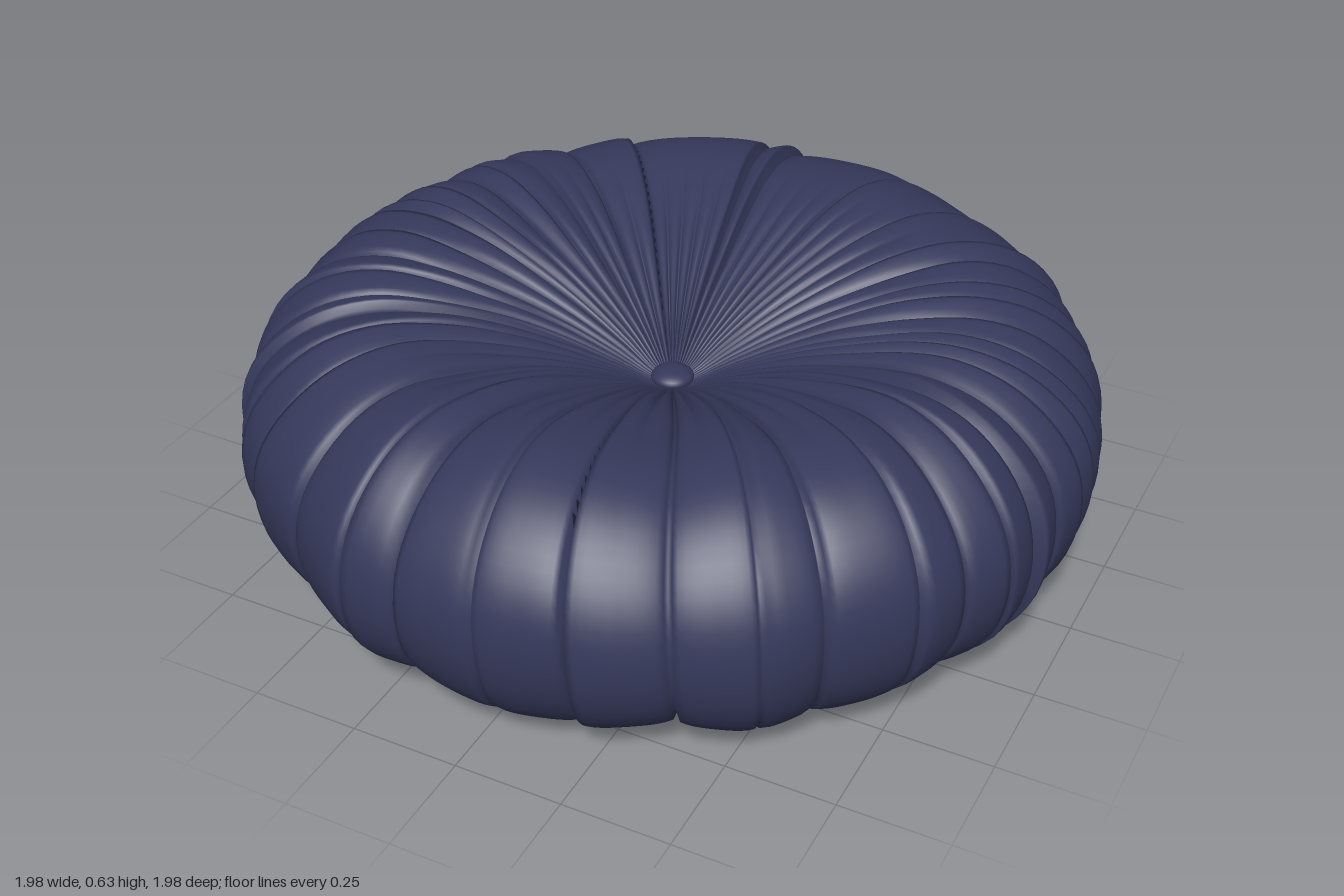
import * as THREE from 'three';

const fabric = new THREE.MeshStandardMaterial({ color: 0x35385a, roughness: 0.9 });

// Half section of the cushion: radius, height, from top centre round to bottom centre
const PROFILE = [
  [0.012, 0.372], [0.05, 0.385], [0.13, 0.43], [0.25, 0.496], [0.4, 0.562], [0.55, 0.606], [0.68, 0.62],
  [0.8, 0.592], [0.9, 0.52], [0.96, 0.43], [0.98, 0.32], [0.96, 0.21], [0.9, 0.12], [0.8, 0.05],
  [0.68, 0.024], [0.55, 0.037], [0.4, 0.08], [0.25, 0.146], [0.13, 0.211], [0.05, 0.255], [0.012, 0.268],
];

// Angles of the long creases in degrees, from +x towards +z
const CREASES = [
  0, 6, 12, 18, 25, 32, 44, 52, 63, 76, 88, 100, 108, 120, 132, 140, 148, 153, 161, 168, 176, 184, 188,
  194, 200, 206, 213, 223, 236, 261, 266, 287, 302, 315, 322, 330, 336, 343, 350, 355,
];

function seeded(seed) {
  return () => {
    seed = (seed * 16807) % 2147483647;
    return seed / 2147483647;
  };
}

// Columns of the surface: angle, groove depth, fabric lift, and whether it belongs to a short fold
function makeColumns() {
  const rand = seeded(41);
  const columns = [];
  CREASES.forEach((start, k) => {
    const width = (CREASES[k + 1] ?? 360) - start;
    const folds = Math.max(1, Math.round(width / 5.5));
    const tilt = (rand() < 0.5 ? -1 : 1) * (0.006 + 0.008 * rand());
    const lift = 0.004 * rand();
    const wobble = rand() * 6.28;
    for (let f = 0; f < folds; f++) {
      const foldWidth = width / folds;
      const thin = 0.5 / foldWidth;
      for (const t of [0, thin, 0.22, 0.4, 0.6, 0.78, 1 - thin]) {
        const whole = (f + t) / folds;
        columns.push({
          angle: THREE.MathUtils.degToRad(start + foldWidth * (f + t)),
          wobble,
          groove: t === 0 && f === 0 ? 1 : 0,
          fold: 1 - Math.pow(Math.abs(2 * t - 1), 2.5),
          puff: 1 - Math.pow(Math.abs(2 * whole - 1), 4),
          tilt: tilt * (2 * whole - 1),
          lift,
        });
      }
    }
  });
  return columns;
}

function pleatedCushion() {
  const curve = new THREE.CatmullRomCurve3(PROFILE.map(([r, y]) => new THREE.Vector3(r, y, 0)));
  const rows = 72;
  const columns = makeColumns();
  const positions = [];
  const indices = [];

  for (let j = 0; j <= rows; j++) {
    const v = j / rows;
    const p = curve.getPointAt(v);
    const tangent = curve.getTangentAt(v);
    const outer = THREE.MathUtils.smoothstep(p.x, 0.05, 0.6);
    const inner = 1 - THREE.MathUtils.smoothstep(p.x, 0.25, 0.72);
    const root = THREE.MathUtils.smoothstep(p.x, 0.012, 0.15);
    for (const c of columns) {
      // Long pleats overlap at the rim; short folds gather towards the centre
      const ripple = 0.002 * Math.sin(c.angle * 9 + v * 21) + 0.002 * Math.sin(c.wobble + v * 33);
      const offset = outer * (0.008 * c.puff + c.tilt + c.lift + ripple - 0.004)
        + root * (inner * 0.013 * (c.fold - 0.5) - c.groove * 0.014);
      const angle = c.angle + 0.014 * outer * Math.sin(v * 11 + c.angle * 3);
      const r = p.x - tangent.y * offset;
      const y = p.y + tangent.x * offset;
      positions.push(r * Math.cos(angle), y, r * Math.sin(angle));
    }
  }

  const n = columns.length;
  for (let j = 0; j < rows; j++) {
    for (let i = 0; i < n; i++) {
      const a = j * n + i;
      const b = j * n + ((i + 1) % n);
      indices.push(a, b, a + n, b, b + n, a + n);
    }
  }
  const geometry = new THREE.BufferGeometry();
  geometry.setAttribute('position', new THREE.Float32BufferAttribute(positions, 3));
  geometry.setIndex(indices);
  geometry.computeVertexNormals();
  return geometry;
}

export function createModel() {
  const group = new THREE.Group();
  group.name = 'roundCushion';

  const cushion = new THREE.Mesh(pleatedCushion(), fabric);
  cushion.name = 'pleatedCover';
  group.add(cushion);

  // Covered tufting buttons, top and bottom
  for (const [name, y] of [['topButton', 0.39], ['bottomButton', 0.25]]) {
    const button = new THREE.Mesh(new THREE.SphereGeometry(0.05, 32, 16), fabric);
    button.name = name;
    button.scale.y = 0.45;
    button.position.y = y;
    group.add(button);
  }
  return group;
}
